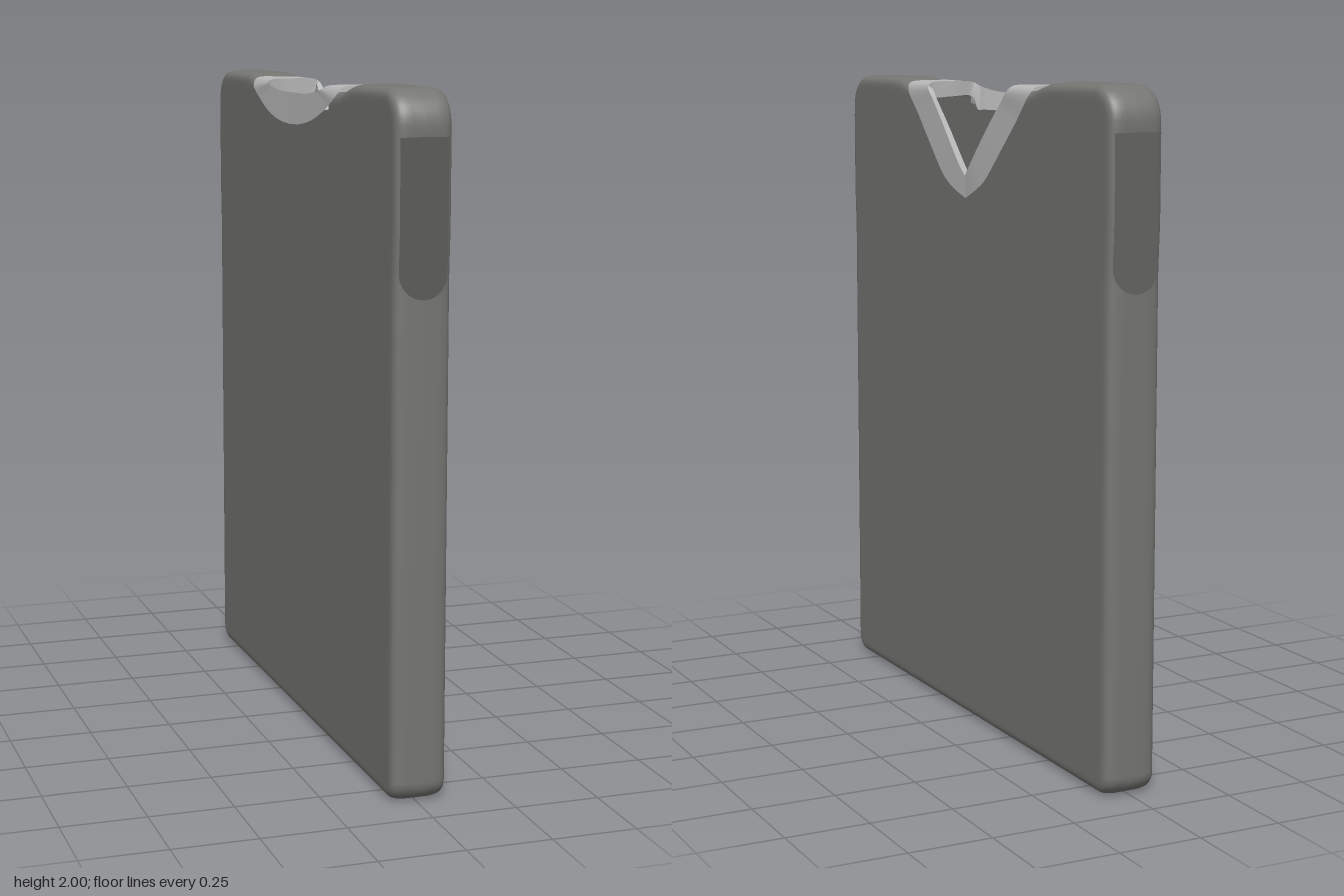
import * as THREE from 'three';

const HALF = 0.083, CX = 0.004, INSET = 0.05;
const clothMat = new THREE.MeshStandardMaterial({ color: 0x757572, side: THREE.DoubleSide });
clothMat.name = 'dark grey cloth';
const trimMat = new THREE.MeshStandardMaterial({ color: 0xb8b8b8, side: THREE.DoubleSide });
trimMat.name = 'light grey trim';

// Smooth surface through rows of equally many points
function loft(rows) {
  const n = rows[0].length, index = [];
  for (let i = 0; i < rows.length - 1; i++) for (let j = 0; j < n - 1; j++) {
    const a = i * n + j, b = a + n;
    index.push(a, b, a + 1, a + 1, b, b + 1);
  }
  const g = new THREE.BufferGeometry();
  g.setAttribute('position', new THREE.Float32BufferAttribute(rows.flat(2), 3));
  g.setIndex(index);
  g.computeVertexNormals();
  return g;
}

// Edge path of one half, from hem centre round the side to the neck:
// z, y, outward normal (nz, ny), how far the cloth wraps (angle)
function edgePath() {
  const path = [], full = Math.PI / 2, hem = Math.PI / 3;
  const add = (z, y, nz, ny, t = full) => path.push({ z, y, nz, ny, t });
  const arc = (cz, cy, r, a0, a1) => {
    for (let i = 0; i <= 8; i++) {
      const a = a0 + (a1 - a0) * i / 8, c = Math.cos(a), s = Math.sin(a);
      add(cz + r * c, cy + r * s, c, s);
    }
  };
  add(0, 0, 0, -1, hem);
  add(0.824, 0, 0, -1, hem);
  arc(0.825, 0.06, 0.06, -full, 0);
  add(0.885, 0.7, 1, 0);
  add(0.885, 1.35, 1, 0);
  // armhole with a rounded bottom
  for (const y of [1.43, 1.432, 1.436, 1.444, 1.455, 1.47, 1.485, 1.5, 1.55, 1.6, 1.65, 1.75, 1.868]) {
    const k = Math.max(0, (1.5 - y) / 0.07);
    const open = 0.07 * Math.sqrt(Math.max(0, 1 - k * k));
    const z = 0.885 + 0.007 * THREE.MathUtils.smoothstep(y, 1.47, 1.65);
    add(z, y, 1, 0, Math.acos((open / HALF) ** 2));
  }
  add(0.89, 1.87, 1, 0);
  arc(0.79, 1.9, 0.1, 0, full);
  for (const [z, y] of [[0.55, 2], [0.5, 1.996], [0.45, 1.985], [0.4, 1.972], [0.31, 1.968]]) add(z, y, 0, 1);
  return path;
}

// Rounded border of a panel; sx picks front or back, sz the side
function border(path, sx, sz) {
  return loft(path.map(p => Array.from({ length: 13 }, (_, j) => {
    const t = p.t * (j / 12) ** 1.5;
    const d = INSET * (Math.sqrt(Math.sin(t)) - 1);
    const x = CX + sx * HALF * Math.sqrt(Math.max(0, Math.cos(t)));
    return [x, p.y + p.ny * d, sz * (p.z + p.nz * d)];
  })));
}

// Flat panel inside the border, with the neckline cut in
function panel(path, neck, sx) {
  const half = path.map(p => [p.z - p.nz * INSET, p.y - p.ny * INSET]).concat(neck);
  const other = half.slice(1).reverse().map(([z, y]) => [-z, y]);
  const pts = half.concat(other.filter(([z]) => z !== 0)).map(p => new THREE.Vector2(...p));
  const g = new THREE.ShapeGeometry(new THREE.Shape(pts));
  g.rotateY(sx * Math.PI / 2);
  g.translate(CX + sx * HALF, 0, 0);
  return g;
}

// Sampled smooth rail
const rail = pts => new THREE.CatmullRomCurve3(pts.map(p => new THREE.Vector3(...p)), false, 'centripetal')
  .getPoints(64).map(v => v.toArray());

export function createModel() {
  const model = new THREE.Group();
  const add = (geo, mat, name) => {
    const m = new THREE.Mesh(geo, mat);
    m.name = name;
    model.add(m);
  };
  const path = edgePath();

  // Cloth body
  add(panel(path, [[0.25, 1.88], [0.13, 1.75], [0, 1.67]], 1), clothMat, 'frontPanel');
  add(panel(path, [[0.22, 1.905], [0, 1.9]], -1), clothMat, 'backPanel');
  for (const sz of [1, -1]) {
    add(border(path, 1, sz), clothMat, 'frontBorder');
    add(border(path, -1, sz), clothMat, 'backBorder');
  }

  // Neck trim rails, from the front point over the shoulder to the back centre
  const outer = [
    [0.092, 1.64, 0], [0.096, 1.665, 0.07], [0.097, 1.70, 0.14], [0.095, 1.79, 0.24], [0.092, 1.88, 0.335],
    [0.09, 1.965, 0.42], [0.075, 1.983, 0.43], [0, 1.988, 0.435], [-0.075, 1.985, 0.43], [-0.09, 1.965, 0.42],
    [-0.094, 1.925, 0.34], [-0.097, 1.885, 0.22], [-0.098, 1.865, 0.1], [-0.098, 1.86, 0]];
  const inner = [
    [0.094, 1.708, 0], [0.096, 1.74, 0.035], [0.096, 1.79, 0.085], [0.094, 1.86, 0.155], [0.091, 1.93, 0.23],
    [0.088, 1.972, 0.275], [0.073, 1.984, 0.28], [0, 1.987, 0.28], [-0.073, 1.984, 0.28], [-0.088, 1.975, 0.275],
    [-0.09, 1.966, 0.225], [-0.09, 1.958, 0.15], [-0.09, 1.955, 0.07], [-0.09, 1.955, 0]];
  // inner face of the trim, folded in toward the neck opening
  const fold = inner.map(([x, y, z], i) =>
    i < 6 ? [0.074, y - 0.005, z]
      : i < 9 ? [x * 0.95, 1.94, 0.282]
        : [-0.066, 1.9, z * 0.85]);
  for (const sz of [1, -1]) {
    const rails = [outer, inner, fold].map(pts => rail(pts.map(([x, y, z]) => [x, y, z * sz])));
    const strip = (a, b) => loft(rails[a].map((p, i) => [p, rails[b][i]]));
    add(strip(0, 1), trimMat, 'neckTrim');
    add(strip(1, 2), trimMat, 'neckTrimInside');
  }
  return model;
}
